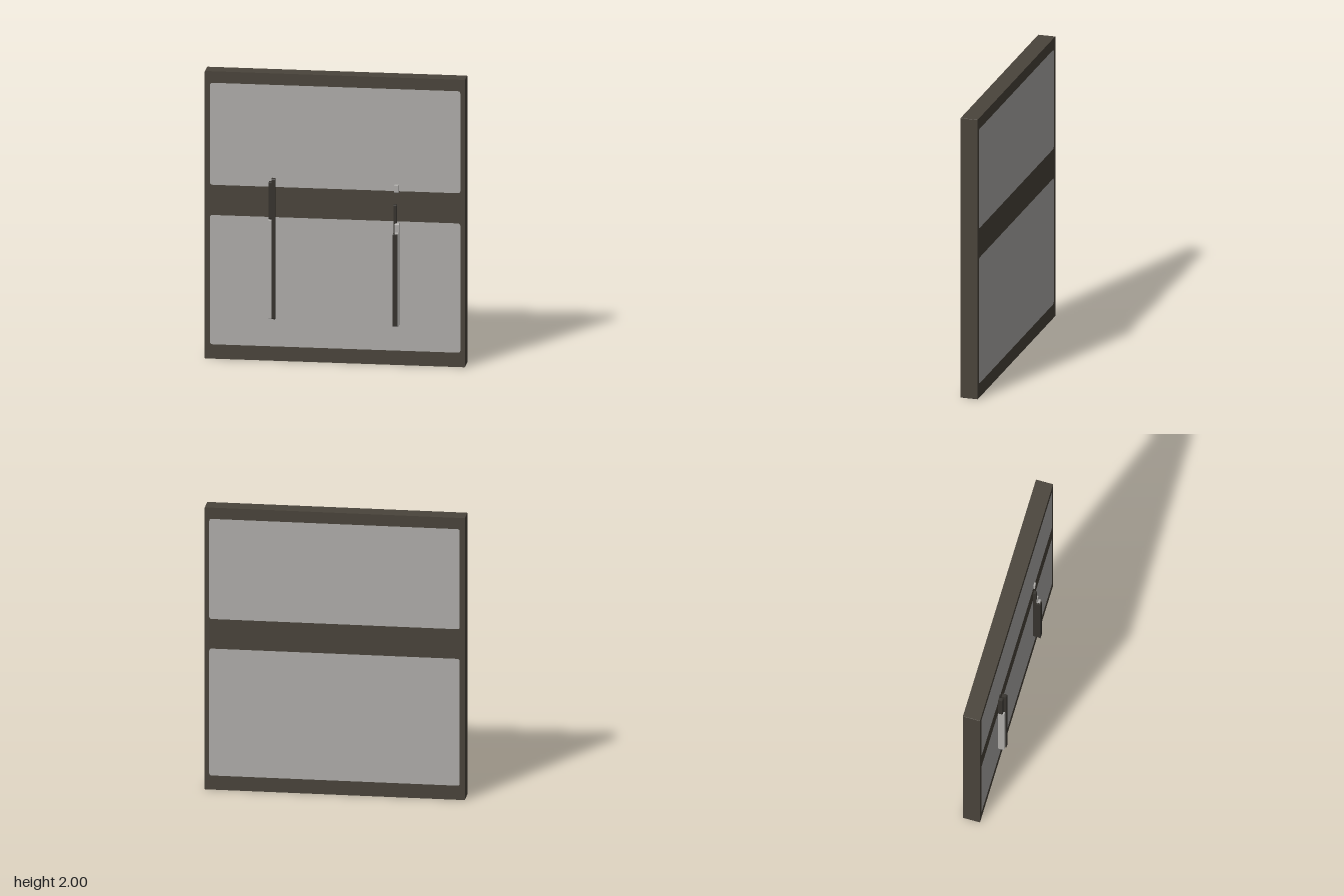
import * as THREE from 'three';

const frameMat = new THREE.MeshStandardMaterial({ name: 'dark bronze frame', color: 0x4a443b });
const panelMat = new THREE.MeshStandardMaterial({ name: 'pale grey panel', color: 0xb0aeab });
const gripMat = new THREE.MeshStandardMaterial({ name: 'near black grip', color: 0x36332e });

const BACK = -0.086, FRONT = 0.034;

// Rounded rectangle outline, usable as a Shape or a hole Path
function roundedRect(path, x0, y0, x1, y1, r) {
  path.moveTo(x0 + r, y0);
  path.lineTo(x1 - r, y0);
  path.quadraticCurveTo(x1, y0, x1, y0 + r);
  path.lineTo(x1, y1 - r);
  path.quadraticCurveTo(x1, y1, x1 - r, y1);
  path.lineTo(x0 + r, y1);
  path.quadraticCurveTo(x0, y1, x0, y1 - r);
  path.lineTo(x0, y0 + r);
  path.quadraticCurveTo(x0, y0, x0 + r, y0);
  return path;
}

function extrude(shape, depth) {
  return new THREE.ExtrudeGeometry(shape, { depth, bevelEnabled: false, curveSegments: 5 });
}

function addMesh(parent, name, geometry, material) {
  const mesh = new THREE.Mesh(geometry, material);
  mesh.name = name;
  parent.add(mesh);
  return mesh;
}

// Upright bar with a rounded side outline, spanning x, y and z ranges
function addBar(parent, name, [x0, x1], [y0, y1], [z0, z1], material, r = 0.012) {
  const shape = roundedRect(new THREE.Shape(), -z1, y0, -z0, y1, r);
  const geometry = extrude(shape, x1 - x0);
  geometry.rotateY(Math.PI / 2); // outline -> z, depth -> x
  geometry.translate(x0, 0, 0);
  return addMesh(parent, name, geometry, material);
}

export function createModel() {
  const model = new THREE.Group();
  model.name = 'panelledDoor';

  // Frame with two openings
  const openings = [
    ['upperPanel', -0.85, 1.21, 0.855, 1.92],
    ['lowerPanel', -0.85, 0.1, 0.855, 1.0],
  ];
  const outline = new THREE.Shape();
  roundedRect(outline, -0.886, 0, 0.886, 2, 0.004);
  for (const [, ...rect] of openings) outline.holes.push(roundedRect(new THREE.Path(), ...rect, 0.018));
  addMesh(model, 'frame', extrude(outline, FRONT - BACK), frameMat).position.z = BACK;

  // Panels flush with the frame on both faces
  for (const [name, ...rect] of openings) {
    const shape = roundedRect(new THREE.Shape(), ...rect, 0.018);
    addMesh(model, name, extrude(shape, FRONT - BACK), panelMat).position.z = BACK;
  }

  // Right handle: long dark grip with a pale backing along its outer side
  const right = new THREE.Group();
  right.name = 'rightHandle';
  addBar(right, 'grip', [-0.424, -0.4], [0.3, 1.28], [0.05, 0.087], gripMat);
  addBar(right, 'gripMount', [-0.43, -0.406], [0.3, 0.98], [0.03, 0.052], panelMat, 0.004);
  addBar(right, 'paleSide', [-0.446, -0.424], [0.3, 0.99], [0.03, 0.078], panelMat, 0.006);
  addBar(right, 'upperSide', [-0.446, -0.424], [0.99, 1.25], [0.03, 0.066], gripMat, 0.01);
  addBar(right, 'upperMount', [-0.426, -0.408], [1.0, 1.27], [0.03, 0.044], gripMat, 0.006);
  model.add(right);

  // Left handle: dark front edge, pale outer side and a slim upper stem
  const left = new THREE.Group();
  left.name = 'leftHandle';
  addBar(left, 'grip', [0.4, 0.432], [0.28, 0.92], [0.074, 0.087], gripMat, 0.005);
  addBar(left, 'innerSide', [0.402, 0.416], [0.28, 0.92], [0.03, 0.075], gripMat, 0.005);
  addBar(left, 'paleSide', [0.416, 0.44], [0.28, 0.93], [0.03, 0.079], panelMat, 0.006);
  addBar(left, 'shoulder', [0.412, 0.44], [0.9, 0.99], [0.03, 0.062], panelMat, 0.012);
  addBar(left, 'upperStem', [0.402, 0.424], [0.92, 1.12], [0.03, 0.056], gripMat, 0.008);
  addBar(left, 'topTab', [0.406, 0.436], [1.2, 1.255], [0.03, 0.045], panelMat, 0.005);
  model.add(left);

  return model;
}
